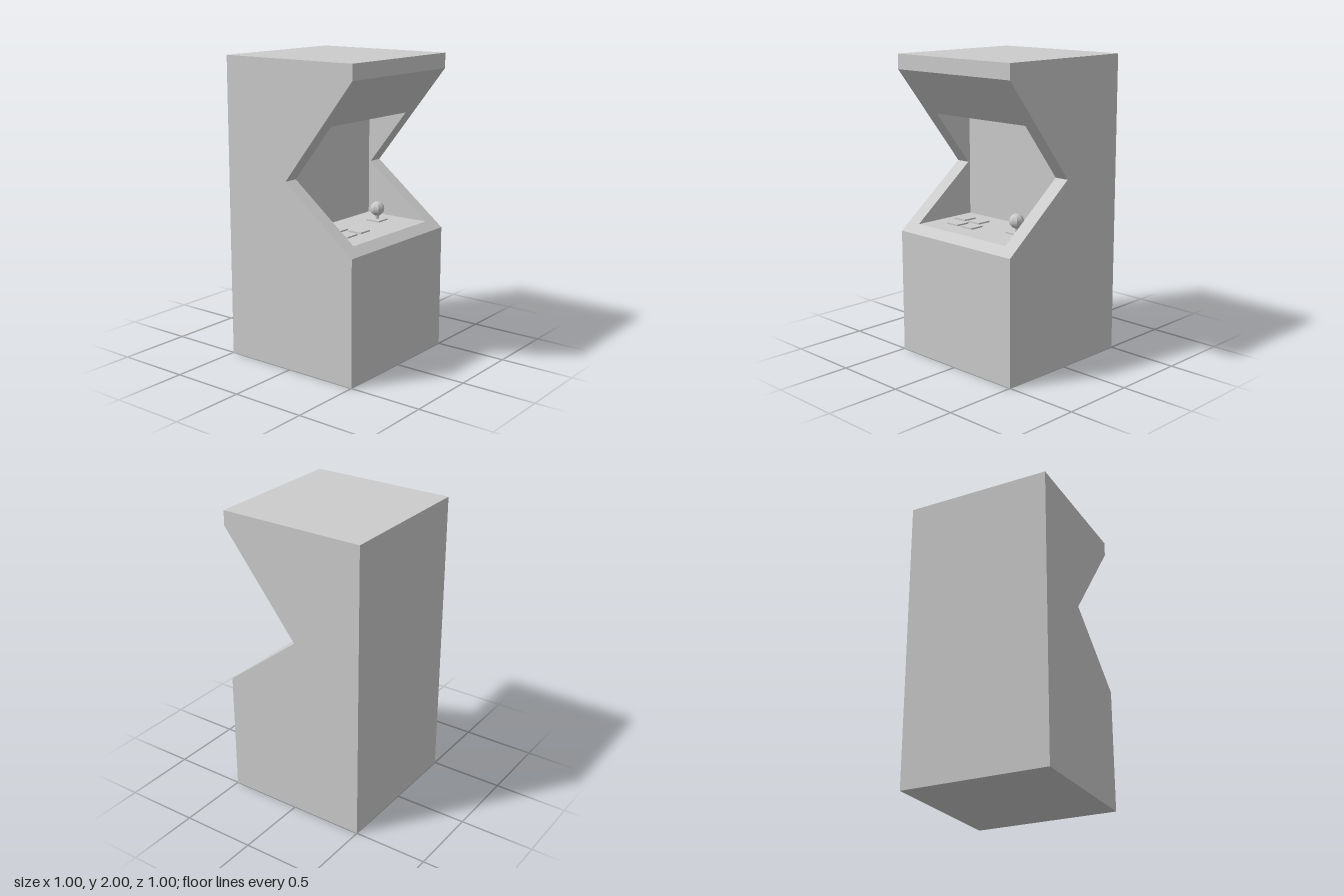
import * as THREE from 'three';

const material = new THREE.MeshStandardMaterial({ color: 0xcccccc, flatShading: true });

// Side profile: foot of the lower slope, notch corner, end of the upper slope
const LOW = [0.5, 0.83], NOTCH = [-0.02, 1.24], HIGH = [0.5, 1.9];
const HALF = 0.5, INNER = 0.4, FLOOR = 0.88, CEILING = 1.6, WALL = -0.035;

const lerp = THREE.MathUtils.mapLinear;
const slopeX = y => (y < NOTCH[1]
  ? lerp(y, LOW[1], NOTCH[1], LOW[0], NOTCH[0])
  : lerp(y, NOTCH[1], HIGH[1], NOTCH[0], HIGH[0]));

const shapeOf = points => new THREE.Shape(points.map(p => new THREE.Vector2(...p)));

// Ribbon of flat quads following a path in x/y, spanning z from -half to half
function strip(path, half) {
  const positions = [];
  for (let i = 0; i < path.length - 1; i++) {
    const a = path[i], b = path[i + 1];
    positions.push(...a, -half, ...b, -half, ...b, half);
    positions.push(...a, -half, ...b, half, ...a, half);
  }
  const geometry = new THREE.BufferGeometry();
  geometry.setAttribute('position', new THREE.Float32BufferAttribute(positions, 3));
  geometry.computeVertexNormals();
  return geometry;
}

// U-shaped frame drawn in z/y, then pushed onto the sloping front
function slopeFrame(outerY, innerY) {
  const y = NOTCH[1];
  const outline = [
    [-HALF, outerY], [HALF, outerY], [HALF, y], [INNER, y],
    [INNER, innerY], [-INNER, innerY], [-INNER, y], [-HALF, y],
  ];
  const geometry = new THREE.ShapeGeometry(shapeOf(outline)).rotateY(Math.PI / 2);
  const pos = geometry.attributes.position;
  for (let i = 0; i < pos.count; i++) pos.setX(i, slopeX(pos.getY(i)));
  geometry.computeVertexNormals();
  return geometry;
}

export function createModel() {
  const model = new THREE.Group();
  model.name = 'arcadeCabinet';

  const add = (name, geometry, x = 0, y = 0, z = 0, parent = model) => {
    const mesh = new THREE.Mesh(geometry, material);
    mesh.name = name;
    mesh.position.set(x, y, z);
    parent.add(mesh);
    return mesh;
  };

  // Outer shell
  const shell = [HIGH, [0.5, 2], [-0.5, 2], [-0.5, 0], [0.5, 0], LOW];
  add('cabinetShell', strip(shell, HALF));
  add('lowerFrame', slopeFrame(LOW[1], FLOOR));
  add('upperFrame', slopeFrame(HIGH[1], CEILING));

  // Recess with control deck, screen wall and ceiling
  const floorFront = [slopeX(FLOOR), FLOOR], ceilingFront = [slopeX(CEILING), CEILING];
  const recess = [floorFront, [WALL, FLOOR], [WALL, CEILING], ceilingFront];
  add('screenRecess', strip(recess, INNER));

  // Outer side panels and inner cheeks
  for (const side of [-1, 1]) {
    const label = side > 0 ? 'left' : 'right';
    const panel = add(label + 'SidePanel',
      new THREE.ShapeGeometry(shapeOf([...shell, NOTCH])), 0, 0, side * HALF);
    const cheek = add(label + 'Cheek',
      new THREE.ShapeGeometry(shapeOf([...recess, NOTCH])), 0, 0, side * INNER);
    // Turn the faces that must look towards -z
    const flipped = side > 0 ? cheek : panel;
    const index = flipped.geometry.index;
    for (let i = 0; i < index.count; i += 3) {
      const a = index.getX(i);
      index.setX(i, index.getX(i + 2));
      index.setX(i + 2, a);
    }
    flipped.geometry.computeVertexNormals();
  }

  // Joystick
  const joystick = new THREE.Group();
  joystick.name = 'joystick';
  joystick.position.set(0.16, FLOOR, -0.23);
  model.add(joystick);
  add('joystickBase', new THREE.BoxGeometry(0.1, 0.01, 0.1), 0, 0.005, 0, joystick);
  add('joystickStick', new THREE.CylinderGeometry(0.011, 0.011, 0.05, 8), 0, 0.03, 0, joystick);
  add('joystickBall', new THREE.SphereGeometry(0.048, 8, 16), 0, 0.08, 0, joystick);

  // Two staggered rows of square buttons
  const buttons = [[0.25, 0.09], [0.25, 0.225], [0.12, 0.155], [0.12, 0.29]];
  buttons.forEach(([x, z], i) =>
    add('button' + (i + 1), new THREE.BoxGeometry(0.1, 0.01, 0.1), x, FLOOR + 0.005, z));

  return model;
}
